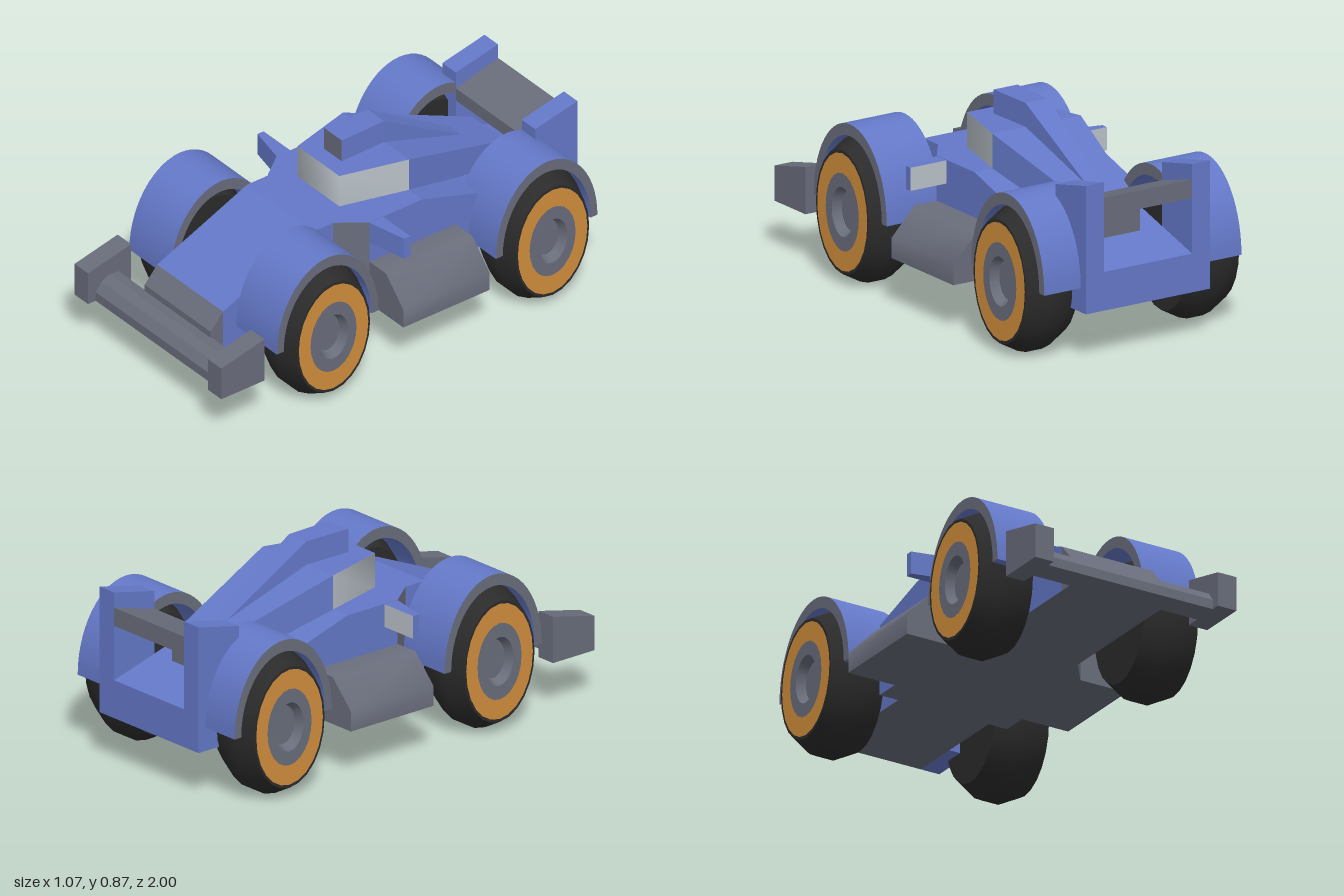
import * as THREE from 'three';
import { toCreasedNormals } from 'three/addons/utils/BufferGeometryUtils.js';

const paint = (name, color) => {
  const m = new THREE.MeshStandardMaterial({ color });
  m.name = name;
  return m;
};

export function createModel() {
  const blue = paint('blue', 0x6478c8);
  const gray = paint('gray', 0x696d7b);
  const pale = paint('paleGray', 0xb9c1c8);
  const black = paint('black', 0x2b2b2c);
  const orange = paint('orange', 0xd08d3c);
  const car = new THREE.Group();
  car.name = 'racingCar';

  const add = (name, geometry, material, parent = car) => {
    const mesh = new THREE.Mesh(geometry, material);
    mesh.name = name;
    parent.add(mesh);
    return mesh;
  };

  // Loft of rectangles [z, x0, x1, y0, y1] from front to back.
  // mats gives a material per side; a side set to null is left open.
  function loft(name, sections, base, mats = {}) {
    const m = { top: base, bottom: base, side: base, front: base, back: base, ...mats };
    const used = [...new Set(Object.values(m).filter(Boolean))];
    const faces = used.map(() => []);
    const quad = (mat, a, b, c, d) => {
      if (mat) faces[used.indexOf(mat)].push(...a, ...b, ...c, ...a, ...c, ...d);
    };
    const rings = sections.map(([z, x0, x1, y0, y1]) => [[x0, y0, z], [x1, y0, z], [x1, y1, z], [x0, y1, z]]);
    for (let i = 0; i + 1 < rings.length; i++) {
      const a = rings[i], b = rings[i + 1];
      quad(m.top, a[3], a[2], b[2], b[3]);
      quad(m.bottom, a[1], a[0], b[0], b[1]);
      quad(m.side, a[2], a[1], b[1], b[2]);
      quad(m.side, a[0], a[3], b[3], b[0]);
    }
    const f = rings[0], e = rings[rings.length - 1];
    quad(m.front, f[0], f[1], f[2], f[3]);
    quad(m.back, e[1], e[0], e[3], e[2]);
    const g = new THREE.BufferGeometry();
    g.setAttribute('position', new THREE.Float32BufferAttribute(faces.flat(), 3));
    let start = 0;
    faces.forEach((list, i) => {
      g.addGroup(start, list.length / 3, i);
      start += list.length / 3;
    });
    g.computeVertexNormals();
    return add(name, g, used);
  }
  const sym = (z, w, y0, y1) => [z, -w, w, y0, y1];
  const flip = (s, list) => list.map(([z, a, b, y0, y1]) => (s > 0 ? [z, a, b, y0, y1] : [z, -b, -a, y0, y1]));

  // Body, from nose to tail
  const Y = 0.213;
  const open = { front: null, back: null, bottom: gray };
  loft('noseTip', [sym(0.845, 0.22, Y, 0.34), sym(0.78, 0.22, Y, 0.413)], gray, { back: null });
  loft('hood', [sym(0.78, 0.22, Y, 0.413), sym(0.31, 0.22, Y, 0.615), sym(0.205, 0.22, Y, 0.615)], blue, open);
  loft('intakeFlare', [sym(0.205, 0.22, Y, 0.615), sym(0.085, 0.31, Y, 0.615)], blue, { ...open, side: gray });
  loft('midBody', [sym(0.085, 0.31, Y, 0.615), sym(-0.19, 0.31, Y, 0.615), sym(-0.48, 0.31, Y, 0.527)],
    blue, { front: null, bottom: gray });
  loft('rearDeck', [sym(-0.48, 0.22, Y, 0.527), sym(-1, 0.22, Y, 0.38)], blue, { front: null, bottom: gray });

  // Canopy with wraparound window and tapering tail
  loft('canopyRoof', [sym(0.11, 0.14, 0.615, 0.765), sym(-0.19, 0.22, 0.615, 0.765)], blue,
    { front: null, back: null, side: null, bottom: null });
  const band = [];
  for (const [x, z] of [[-0.22, -0.19], [-0.14, 0.11], [0.14, 0.11], [0.22, -0.19]]) {
    band.push(x, 0.615, z, x, 0.765, z);
  }
  const windowBand = new THREE.BufferGeometry();
  windowBand.setAttribute('position', new THREE.Float32BufferAttribute(band, 3));
  windowBand.setIndex([0, 2, 1, 1, 2, 3, 2, 4, 3, 3, 4, 5, 4, 6, 5, 5, 6, 7]);
  windowBand.computeVertexNormals();
  add('canopyWindow', windowBand, pale);
  loft('canopyTail', [sym(-0.19, 0.22, 0.615, 0.765), sym(-0.78, 0.11, 0.435, 0.558)], blue,
    { front: null, back: gray });
  loft('roofScoop', [sym(0.035, 0.06, 0.76, 0.868), sym(-0.19, 0.055, 0.76, 0.868), sym(-0.61, 0.035, 0.6, 0.617)],
    blue, { front: gray });

  // Front and rear wings
  loft('frontWing', [sym(0.96, 0.4, Y, 0.255), sym(0.93, 0.4, Y, 0.295), sym(0.89, 0.4, Y, 0.315),
    sym(0.84, 0.4, Y, 0.31)], gray);
  loft('rearWing', [sym(-0.78, 0.22, 0.58, 0.64), sym(-1, 0.22, 0.62, 0.7)], gray);

  for (const s of [1, -1]) {
    loft('frontWingEnd', flip(s, [[1, 0.4, 0.49, Y, 0.365], [0.775, 0.4, 0.49, Y, 0.417]]), gray);
    loft('rearWingEnd', flip(s, [[-0.78, 0.22, 0.31, Y, 0.718], [-1, 0.22, 0.31, Y, 0.767]]), blue);
    loft('mirror', flip(s, [[0.085, 0.31, 0.31, 0.513, 0.613], [0.045, 0.31, 0.49, 0.513, 0.613],
      [0.013, 0.31, 0.49, 0.513, 0.613]]), blue, { back: pale });

    // Side pod
    const pod = new THREE.Shape([[0.3, Y], [0.535, Y], [0.535, 0.3], [0.42, 0.42], [0.3, 0.42]]
      .map(([x, y]) => new THREE.Vector2(s * x, y)));
    const podGeo = new THREE.ExtrudeGeometry(pod, { depth: 0.45, bevelEnabled: false });
    add('sidePod', toCreasedNormals(podGeo, 0.9), gray).position.z = -0.365;
  }

  // Wheel parts turned about their axle, outer face towards +x
  const turned = (points) => toCreasedNormals(
    new THREE.LatheGeometry(points.map(([r, h]) => new THREE.Vector2(r, h)), 24).rotateZ(-Math.PI / 2), 0.6);
  const tyre = turned([[0, -0.13], [0.267, -0.13], [0.316, -0.04], [0.316, 0.04], [0.267, 0.13], [0.254, 0.13]]);
  const rim = turned([[0.254, 0.13], [0.168, 0.13]]);
  const hub = turned([[0.168, 0.13], [0.107, 0.13], [0.085, 0.09], [0, 0.09]]);

  // Fender arch with gray edges
  const arch = new THREE.Shape();
  arch.absarc(0, 0, 0.371, 0, Math.PI, false);
  arch.absarc(0, 0, 0.32, Math.PI, 0, true);
  const fender = toCreasedNormals(
    new THREE.ExtrudeGeometry(arch, { depth: 0.27, bevelEnabled: false, curveSegments: 14 })
      .rotateY(Math.PI / 2).translate(-0.18, 0, 0), 0.6);

  for (const z of [0.447, -0.697]) {
    for (const s of [1, -1]) {
      const wheel = new THREE.Group();
      wheel.name = (z > 0 ? 'front' : 'rear') + (s > 0 ? 'Left' : 'Right') + 'Wheel';
      wheel.position.set(s * 0.402, 0.316, z);
      wheel.rotation.y = s > 0 ? 0 : Math.PI;
      wheel.scale.z = 0.715;
      add('tyre', tyre, black, wheel);
      add('rim', rim, orange, wheel);
      add('hub', hub, gray, wheel);
      add('fender', fender, [gray, blue], wheel);
      car.add(wheel);
    }
  }
  return car;
}
